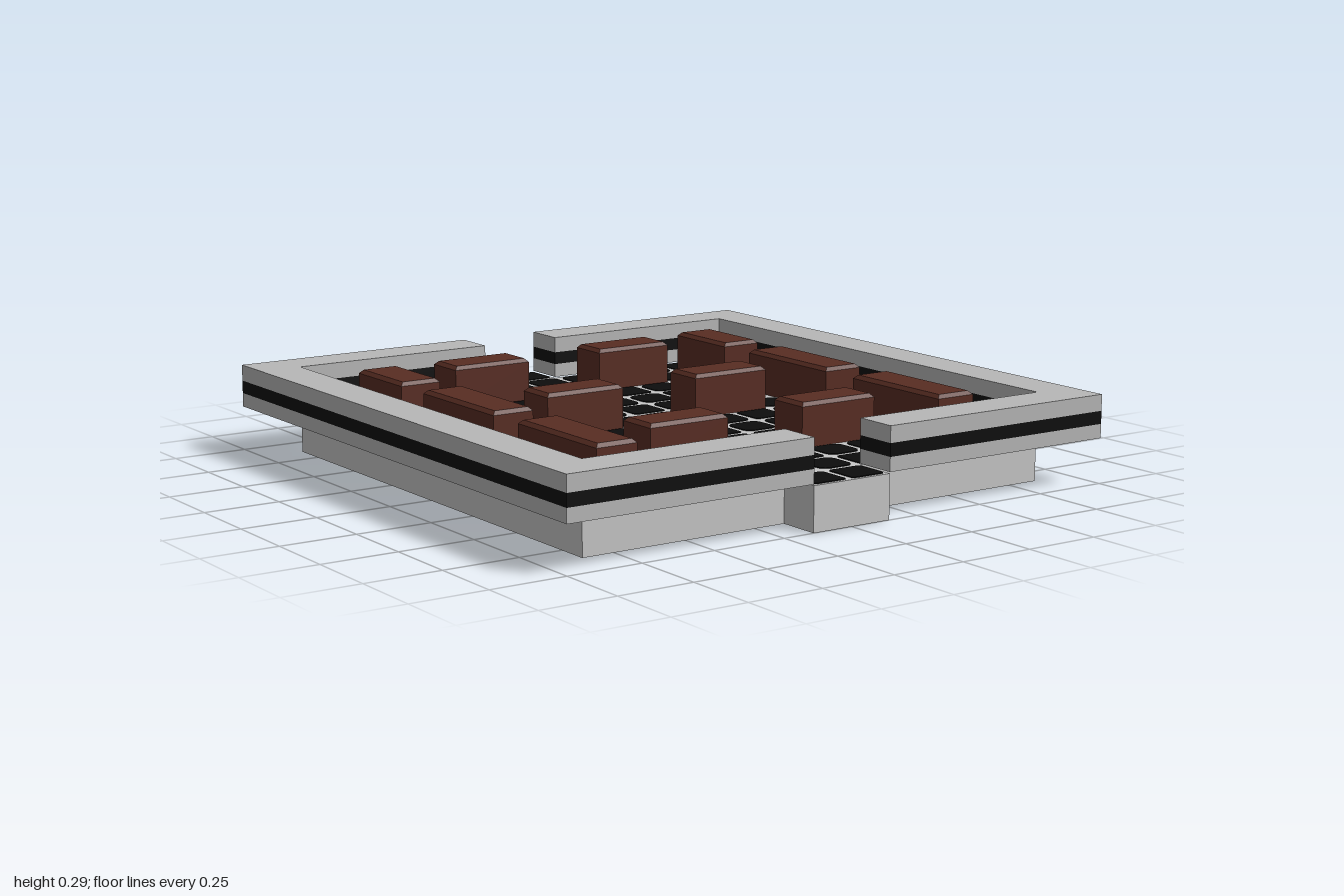
import * as THREE from 'three';

const U = 1 / 7; // one grid cell
const mat = (name, color) => Object.assign(new THREE.MeshStandardMaterial({ color }), { name });

export function createModel() {
  const root = new THREE.Group();
  root.name = 'courtyard';
  const floorGrey = mat('floor grey', 0xc8c8c8);
  const wallGrey = mat('wall grey', 0xb8b8b8);
  const black = mat('black', 0x0d0d0d);
  const brown = mat('brick brown', 0x592d23);

  const add = (name, geo, m, parent = root) => {
    const mesh = new THREE.Mesh(geo, m);
    mesh.name = name;
    parent.add(mesh);
    return mesh;
  };
  const group = (name) => {
    const g = new THREE.Group();
    g.name = name;
    root.add(g);
    return g;
  };
  // Box from its limits: x and z in cells, y in units
  const slab = (name, x0, x1, y0, y1, z0, z1, m, parent) => {
    const geo = new THREE.BoxGeometry((x1 - x0) * U, y1 - y0, (z1 - z0) * U);
    add(name, geo, m, parent).position.set((x0 + x1) / 2 * U, (y0 + y1) / 2, (z0 + z1) / 2 * U);
  };

  // Floor with an entrance step at the front and back
  slab('floor', -6, 6, 0, U, -6, 6, floorGrey);
  slab('frontStep', -1, 1, 0, U, 6, 7, floorGrey);
  slab('backStep', -1, 1, 0, U, -7, -6, floorGrey);

  // Walls in three layers, the middle one a black stripe
  const wall = (name, x0, x1, z0, z1) => {
    const g = group(name);
    slab('wallBase', x0, x1, 0.147, 0.193, z0, z1, wallGrey, g);
    slab('wallStripe', x0, x1, 0.193, 0.235, z0, z1, black, g);
    slab('wallTop', x0, x1, 0.235, 0.288, z0, z1, wallGrey, g);
  };
  wall('leftWall', 6, 7, -7, 7);
  wall('rightWall', -7, -6, -7, 7);
  for (const [side, z] of [['front', 6], ['back', -7]]) {
    wall(side + 'LeftWall', 1, 6, z, z + 1);
    wall(side + 'RightWall', -6, -1, z, z + 1);
  }
  // Undersides closing the small gap between floor and walls
  for (const s of [-1, 1]) {
    slab('wallFooting', s * 6 - 0.05, s * 6 + 0.05, U - 0.001, 0.148, -6, 6, floorGrey);
  }

  // Paving tiles with rounded corners
  const tileGeometry = (r) => {
    const h = 0.06, a = h - r;
    const s = new THREE.Shape();
    s.absarc(a, a, r, 0, Math.PI / 2);
    s.absarc(-a, a, r, Math.PI / 2, Math.PI);
    s.absarc(-a, -a, r, Math.PI, Math.PI * 1.5);
    s.absarc(a, -a, r, Math.PI * 1.5, Math.PI * 2);
    const geo = new THREE.ExtrudeGeometry(s, { depth: 0.003, bevelEnabled: false, curveSegments: 4 });
    return geo.rotateX(-Math.PI / 2);
  };
  const roundTile = tileGeometry(0.03), squareTile = tileGeometry(0.012);
  const paving = group('paving');
  for (let i = -6; i < 6; i++) {
    for (let j = -7; j < 7; j++) {
      const onStep = j === -7 || j === 6;
      if (onStep && i !== -1 && i !== 0) continue;
      const square = onStep || (i + 12) % 4 === (j + 14) % 3;
      add('tile', square ? squareTile : roundTile, black, paving)
        .position.set((i + 0.5) * U, U, (j + 0.5) * U);
    }
  }

  // Bricks with a small chamfer round the top
  const brick = (x0, x1, z0, z1) => {
    const b = 0.012, w = (x1 - x0) * U, d = (z1 - z0) * U;
    const g = group('brick');
    g.position.set((x0 + x1) / 2 * U, U, (z0 + z1) / 2 * U);
    add('brickBody', new THREE.BoxGeometry(w, U - b, d), brown, g).position.y = (U - b) / 2;
    const cap = new THREE.BoxGeometry(w, b, d).toNonIndexed();
    const p = cap.attributes.position;
    for (let i = 0; i < p.count; i++) {
      if (p.getY(i) > 0) {
        p.setX(i, p.getX(i) - Math.sign(p.getX(i)) * b);
        p.setZ(i, p.getZ(i) - Math.sign(p.getZ(i)) * b);
      }
    }
    cap.computeVertexNormals();
    add('brickTop', cap, brown, g).position.y = U - b / 2;
  };
  for (const s of [-1, 1]) {
    // Rows along the sides
    const x = s > 0 ? 4 : -5;
    for (const [z0, z1] of [[-5, -3], [-2, 1], [2, 5]]) brick(x, x + 1, z0, z1);
    // Rows facing the centre aisle
    const xi = s > 0 ? 1 : -3;
    for (const z of [-5, -1, 3]) brick(xi, xi + 2, z, z + 1);
  }
  return root;
}
